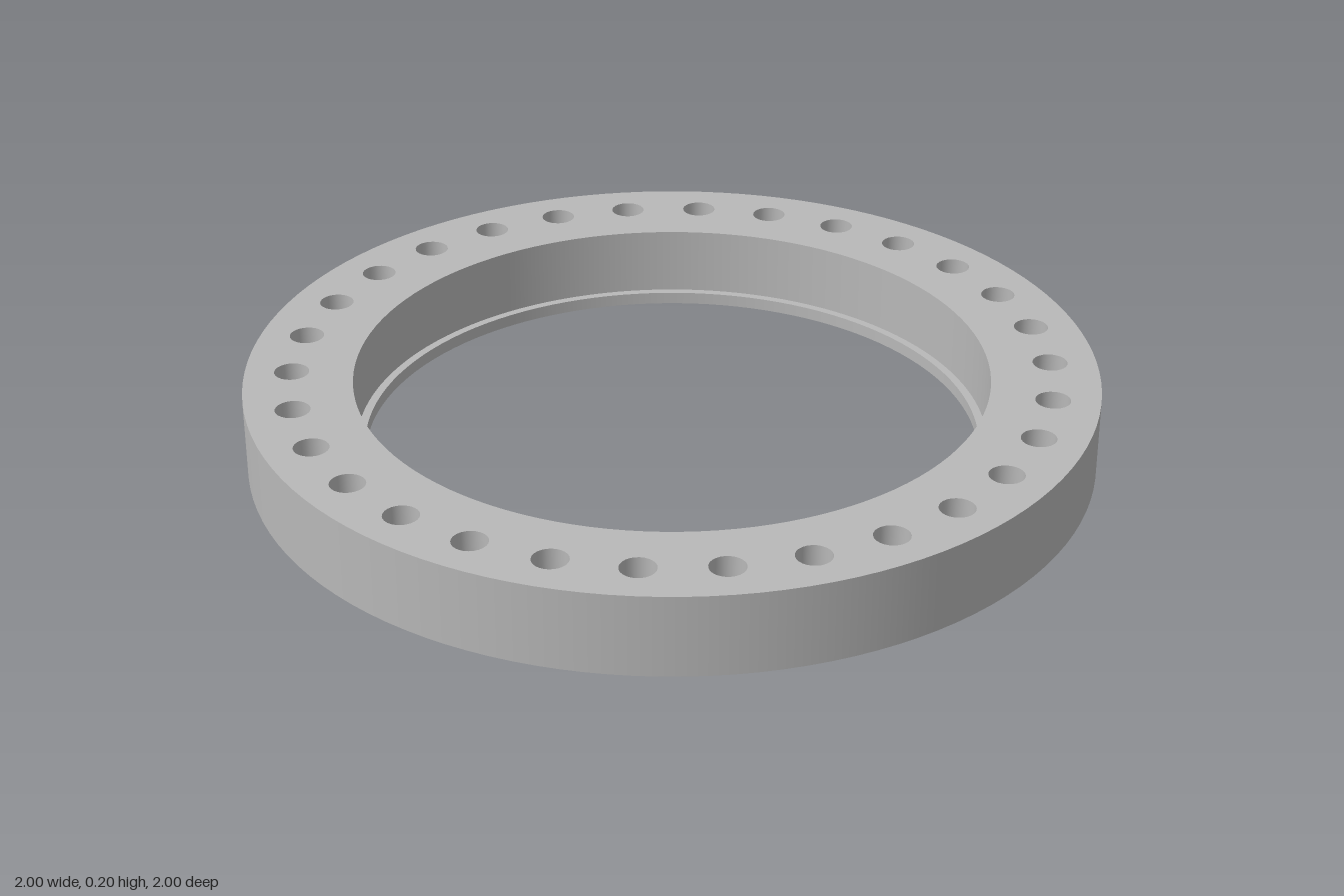
import * as THREE from 'three';
import { mergeGeometries } from 'three/addons/utils/BufferGeometryUtils.js';

const COUNT = 30, BOLT_R = 0.89, HOLE_R = 0.041, HEX_R = 0.076;
const HEIGHT = 0.195, POCKET = 0.1, LIP = 0.03;
const OUTER = 1, BORE = 0.745, LIP_BORE = 0.725, SEGS = 120;

// Regular polygon points around (cx, cy)
function polygon(r, n, cx = 0, cy = 0, turn = 0) {
  return Array.from({ length: n }, (_, i) => {
    const a = turn + (i / n) * Math.PI * 2;
    return new THREE.Vector2(cx + r * Math.cos(a), cy + r * Math.sin(a));
  });
}

// Flat horizontal face with holes, facing up or down
function plate(outline, holes, y, up) {
  const shape = new THREE.Shape(outline);
  shape.holes = holes.map((h) => new THREE.Path(h));
  return new THREE.ShapeGeometry(shape).rotateX(up ? -Math.PI / 2 : Math.PI / 2).translate(0, y, 0);
}

// Open wall between two heights
function wall(r, n, y0, y1) {
  return new THREE.CylinderGeometry(r, r, y1 - y0, n, 1, true).translate(0, (y0 + y1) / 2, 0);
}

// The same piece repeated around the bolt circle
function around(geometry) {
  const copies = [];
  for (let i = 0; i < COUNT; i++) {
    copies.push(geometry.clone().translate(BOLT_R, 0, 0).rotateY((i / COUNT) * Math.PI * 2));
  }
  return mergeGeometries(copies);
}

export function createModel() {
  const group = new THREE.Group();
  const grey = new THREE.MeshStandardMaterial({ color: 0xb8b8b8, side: THREE.DoubleSide });
  grey.name = 'grey';
  const add = (name, geometry) => {
    const mesh = new THREE.Mesh(geometry, grey);
    mesh.name = name;
    group.add(mesh);
  };

  // Outlines repeated on the bolt circle
  const ringOf = (r, n) => Array.from({ length: COUNT }, (_, i) => {
    const a = (i / COUNT) * Math.PI * 2;
    return polygon(r, n, BOLT_R * Math.cos(a), BOLT_R * Math.sin(a), a);
  });

  // Ring faces and walls
  const rim = polygon(OUTER, SEGS);
  add('topFace', plate(rim, [polygon(BORE, SEGS), ...ringOf(HOLE_R, 24)], HEIGHT, true));
  add('bottomFace', plate(rim, [polygon(LIP_BORE, SEGS), ...ringOf(HEX_R, 6)], 0, false));
  add('outerWall', wall(OUTER, SEGS, 0, HEIGHT));
  add('innerWall', wall(BORE, SEGS, LIP, HEIGHT));

  // Small lip at the bottom of the bore
  add('lipLedge', plate(polygon(BORE, SEGS), [polygon(LIP_BORE, SEGS)], LIP, true));
  add('lipWall', wall(LIP_BORE, SEGS, 0, LIP));

  // Bolt holes above, hexagonal nut pockets below
  add('boltHoles', around(wall(HOLE_R, 24, POCKET, HEIGHT)));
  const hexWall = wall(HEX_R, 6, 0, POCKET).rotateY(Math.PI / 6).toNonIndexed();
  hexWall.computeVertexNormals();
  add('nutPocketWalls', around(hexWall));
  add('nutPocketSeats', around(plate(polygon(HEX_R, 6), [polygon(HOLE_R, 24)], POCKET, false)));

  return group;
}
